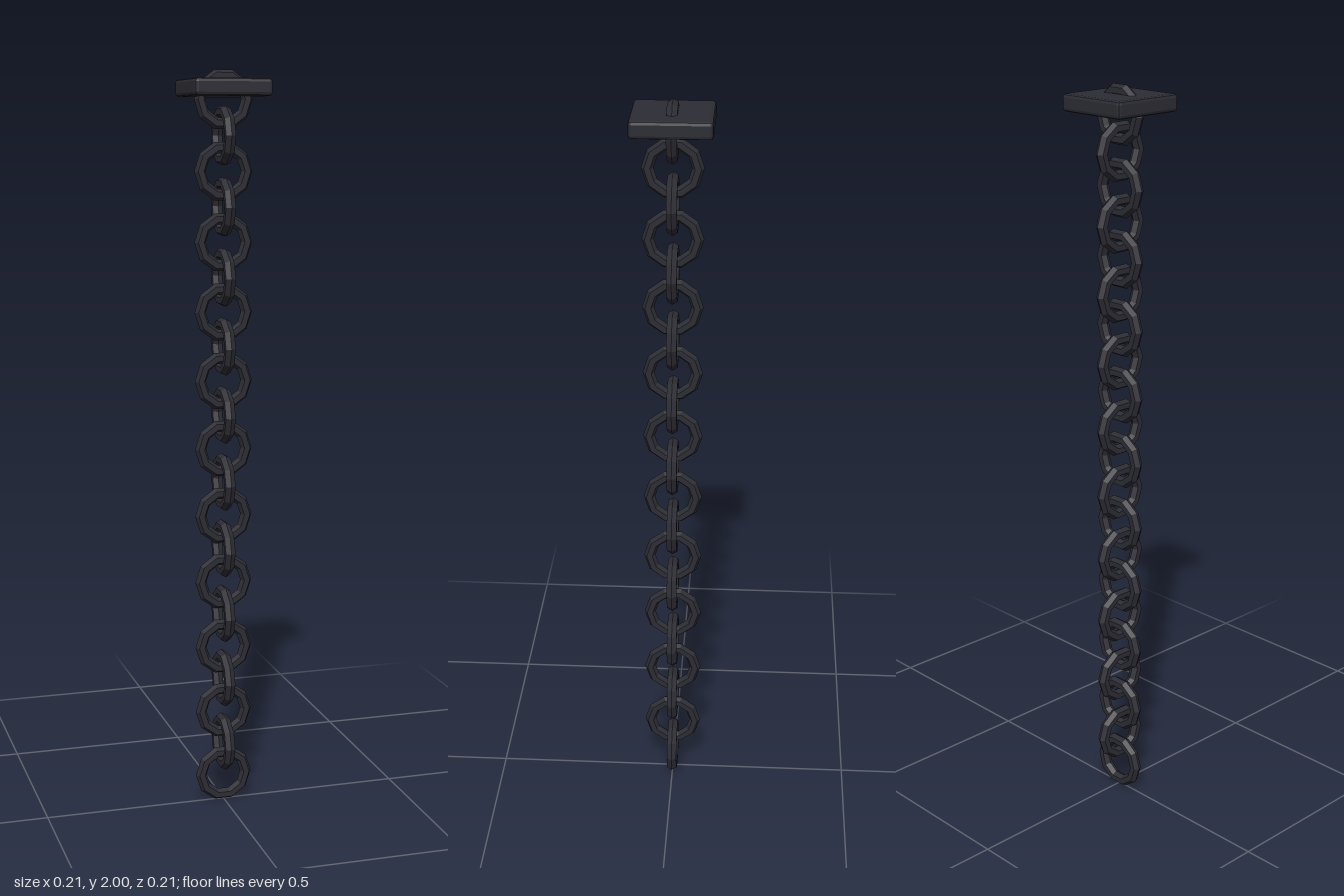
import * as THREE from 'three';
import { RoundedBoxGeometry } from 'three/addons/geometries/RoundedBoxGeometry.js';

const LINKS = 21;
const RING = 0.064; // link centreline radius
const WIRE = 0.0156; // link wire radius
const HALF = (RING + WIRE) * Math.cos(Math.PI / 10); // half height of a ten-sided link
const STEP = (2 - 2 * HALF) / (LINKS - 1);

// Faceted normals for crisp low-poly faces
function faceted(geometry) {
  const flat = geometry.index ? geometry.toNonIndexed() : geometry;
  flat.computeVertexNormals();
  return flat;
}

export function createModel() {
  const group = new THREE.Group();
  group.name = 'hangingChain';

  const iron = new THREE.MeshStandardMaterial({ color: 0x2c2c34 });
  iron.name = 'dark iron';

  // Chain: interlocked links, each turned a quarter from the last
  const chain = new THREE.Group();
  chain.name = 'chain';
  const linkGeometry = faceted(new THREE.TorusGeometry(RING, WIRE, 6, 10));
  for (let i = 0; i < LINKS; i++) {
    const link = new THREE.Mesh(linkGeometry, iron);
    link.name = `link${i + 1}`;
    link.position.y = HALF + i * STEP;
    link.rotation.y = i % 2 ? Math.PI / 2 : 0;
    chain.add(link);
  }
  group.add(chain);

  // Square ceiling plate with chamfered edges, pierced by the top link
  const plate = new THREE.Mesh(faceted(new RoundedBoxGeometry(0.208, 0.045, 0.208, 1, 0.009)), iron);
  plate.name = 'mountingPlate';
  plate.position.y = 1.954;
  group.add(plate);

  return group;
}
